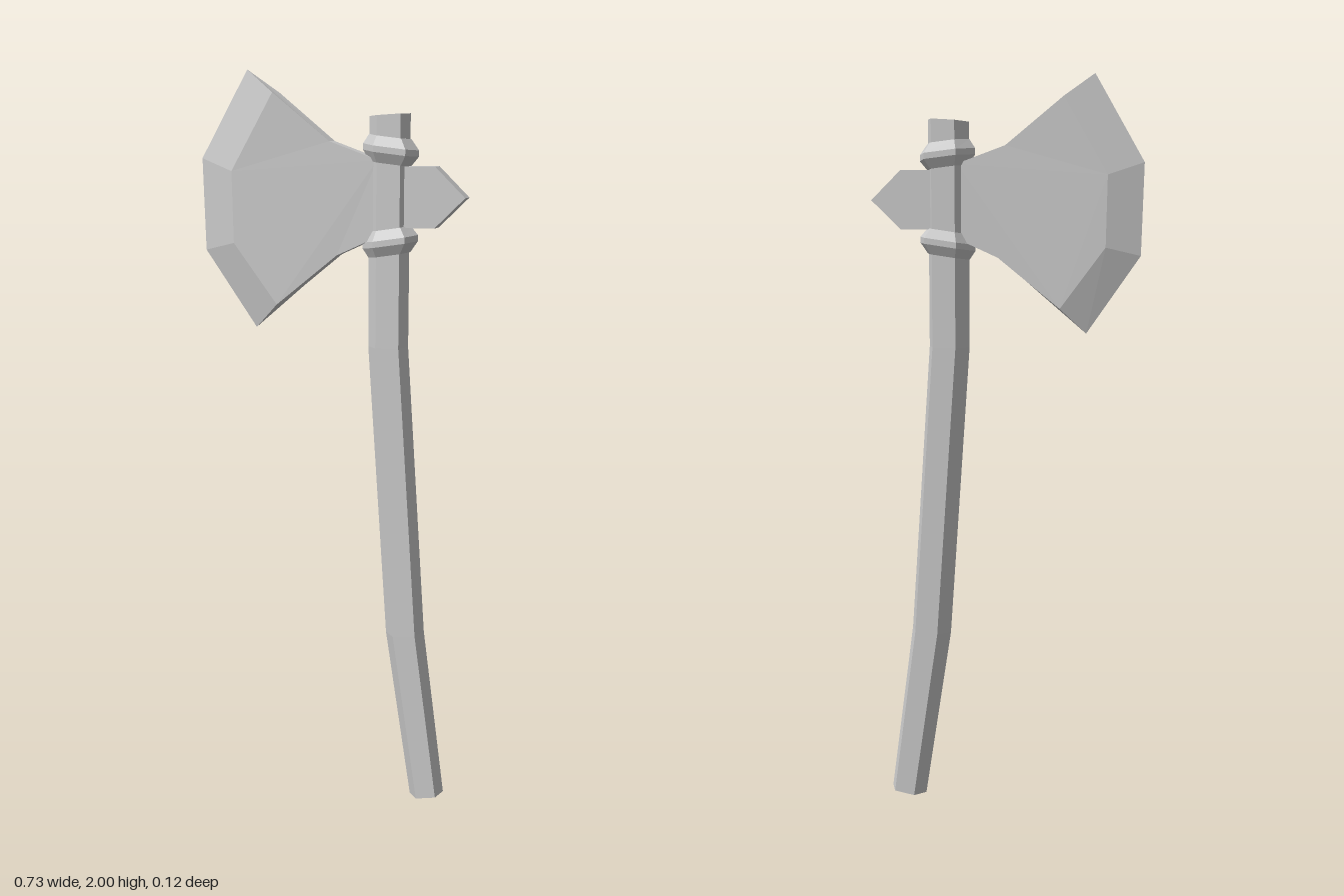
import * as THREE from 'three';

const material = new THREE.MeshStandardMaterial({ color: 0xcccccc, flatShading: true });

// Uneven hexagon, counter-clockwise seen from above: [x, z]
const HEX = [[1, 0], [0.72, -1], [-0.42, -1], [-1, 0], [-0.42, 1], [0.72, 1]];

function meshFromTriangles(name, points) {
  const geometry = new THREE.BufferGeometry().setFromPoints(points);
  geometry.computeVertexNormals();
  const mesh = new THREE.Mesh(geometry, material);
  mesh.name = name;
  return mesh;
}

// Closed hexagonal loft; sections run upward as [x, y, halfWidth, halfDepth, slope]
function hexLoft(name, sections) {
  const rings = sections.map(([x, y, w, d, slope]) =>
    HEX.map(([u, v]) => new THREE.Vector3(x + u * w, y + u * w * slope, v * d)));
  const tris = [];
  for (let r = 0; r < rings.length - 1; r++) {
    for (let i = 0; i < 6; i++) {
      const j = (i + 1) % 6, lo = rings[r], hi = rings[r + 1];
      tris.push(lo[i], lo[j], hi[j], lo[i], hi[j], hi[i]);
    }
  }
  const bottom = rings[0], top = rings[rings.length - 1];
  for (let i = 1; i < 5; i++) {
    tris.push(top[0], top[i], top[i + 1], bottom[0], bottom[i + 1], bottom[i]);
  }
  return meshFromTriangles(name, tris);
}

// Flat cheeks, narrow rim and a bevel that meets in a sharp cutting edge
function createBlade() {
  // Cheek outline as [x, y, halfThickness], plus the edge point for bevelled corners
  const outline = [
    [0.13, 1.768, 0.025], [0, 1.815, 0.026],
    [-0.155, 1.94, 0.031, -0.235, 2.0], [-0.272, 1.737, 0.031, -0.367, 1.77],
    [-0.268, 1.547, 0.031, -0.36, 1.525], [-0.147, 1.385, 0.031, -0.216, 1.318],
    [0.02, 1.52, 0.026], [0.13, 1.57, 0.025],
  ];
  const flat = outline.map(([x, y]) => new THREE.Vector2(x, y));
  const faces = THREE.ShapeUtils.triangulateShape(flat, []);
  const edge = outline.map(([x, y, , ex = x, ey = y]) => new THREE.Vector3(ex, ey, 0));
  const tris = [];
  for (const side of [1, -1]) {
    const cheek = outline.map(([x, y, t]) => new THREE.Vector3(x, y, t * side));
    const add = (a, b, c) => tris.push(...(side > 0 ? [a, b, c] : [a, c, b]));
    for (const [a, b, c] of faces) add(cheek[a], cheek[b], cheek[c]);
    for (let i = 0; i < cheek.length; i++) {
      const j = (i + 1) % cheek.length;
      add(cheek[i], edge[i], edge[j]);
      add(cheek[i], edge[j], cheek[j]);
    }
  }
  return meshFromTriangles('blade', tris);
}

// Pointed block behind the blade
function createSpike() {
  const shape = new THREE.Shape([
    [0.17, 1.595], [0.283, 1.595], [0.363, 1.673], [0.283, 1.752], [0.17, 1.752],
  ].map(([x, y]) => new THREE.Vector2(x, y)));
  const geometry = new THREE.ExtrudeGeometry(shape, { depth: 0.052, bevelEnabled: false });
  geometry.translate(0, 0, -0.026);
  const mesh = new THREE.Mesh(geometry, material);
  mesh.name = 'backSpike';
  return mesh;
}

// Ridged band around the haft
function createCollar(name, y, slope) {
  return hexLoft(name, [
    [0.157, y - 0.034, 0.057, 0.047, slope],
    [0.159, y - 0.008, 0.075, 0.061, slope],
    [0.159, y + 0.008, 0.075, 0.061, slope],
    [0.157, y + 0.034, 0.057, 0.047, slope],
  ]);
}

export function createModel() {
  const axe = new THREE.Group();
  axe.name = 'axe';
  // Curved haft, from the foot up to the cap
  axe.add(hexLoft('haft', [
    [0.279, 0.013, 0.048, 0.041, 0.2],
    [0.211, 0.485, 0.054, 0.045, 0.12],
    [0.156, 1.28, 0.055, 0.045, 0.02],
    [0.156, 1.882, 0.055, 0.045, 0.06],
  ]));
  axe.add(createCollar('upperCollar', 1.793, -0.12));
  axe.add(createCollar('lowerCollar', 1.557, 0.15));
  axe.add(createBlade(), createSpike());
  return axe;
}
